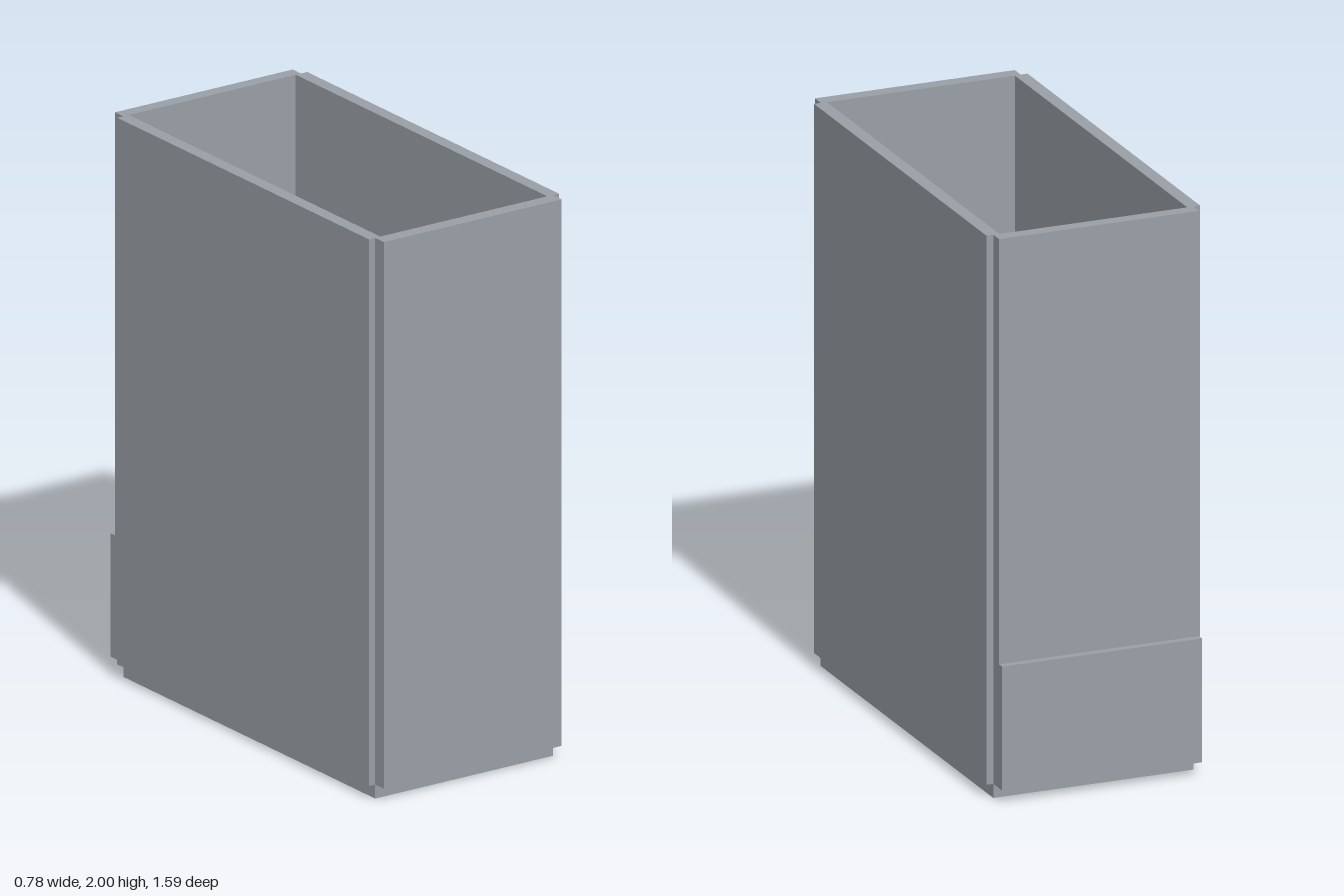
import * as THREE from 'three';

export function createModel() {
  const model = new THREE.Group();
  const mat = (name, color) => Object.assign(new THREE.MeshStandardMaterial({ color }), { name });
  const concrete = mat('concrete grey', 0x9a9fa7);
  const yellow = mat('safety yellow', 0xdcc840);

  const add = (name, geometry, material, parent = model) => {
    const mesh = new THREE.Mesh(geometry, material);
    mesh.name = name;
    parent.add(mesh);
    return mesh;
  };
  // Box given by its limits on each axis
  const box = (name, [x0, x1], [y0, y1], [z0, z1], material = concrete, parent = model) => {
    const mesh = add(name, new THREE.BoxGeometry(x1 - x0, y1 - y0, z1 - z0), material, parent);
    mesh.position.set((x0 + x1) / 2, (y0 + y1) / 2, (z0 + z1) / 2);
  };
  // Round bar between two points
  const bar = (name, a, b, r0, r1, material, parent = model) => {
    const from = new THREE.Vector3(...a), to = new THREE.Vector3(...b);
    const dir = to.clone().sub(from);
    const mesh = add(name, new THREE.CylinderGeometry(r1, r0, dir.length(), 12), material, parent);
    mesh.position.copy(from).add(to).multiplyScalar(0.5);
    mesh.quaternion.setFromUnitVectors(new THREE.Vector3(0, 1, 0), dir.normalize());
  };

  // Shaft: base slab and four walls, open at the top
  const floor = 0.05;
  box('baseSlab', [-0.365, 0.365], [0, floor], [-0.72, 0.745]);
  box('rightWall', [-0.39, -0.343], [floor, 2], [-0.72, 0.745]);
  box('leftWall', [0.343, 0.39], [floor, 2], [-0.72, 0.745]);
  box('frontWall', [-0.365, 0.365], [floor, 2], [0.743, 0.795]);
  box('backWall', [-0.365, 0.365], [floor, 2], [-0.768, -0.72]);
  box('lowerBackWall', [-0.365, 0.365], [floor, 0.49], [-0.795, -0.768]);

  // Two flights of ten steps with a half landing between them
  const rise = 0.04, z0 = -0.455, z1 = 0.28, count = 10, run = (z1 - z0) / count;
  const mid = floor + 11 * rise, upper = mid + count * rise;
  box('halfLanding', [-0.343, 0.343], [mid - 0.05, mid], [z1, 0.743]);
  box('upperLanding', [-0.343, 0.343], [upper - 0.05, upper], [-0.72, z0]);
  for (let i = 0; i < count; i++) {
    const z = z0 + i * run;
    box('lowerStep', [-0.343, -0.028], [floor, floor + (i + 1) * rise], [z, z + run]);
    const y = upper - i * rise;
    box('upperStep', [0.025, 0.343], [y - 0.08, y], [z, z + run]);
    box('stepNosing', [0.025, 0.343], [y - 0.007, y + 0.002], [z + run - 0.011, z + run + 0.001], yellow);
  }

  // Door on the upper landing
  box('door', [-0.147, 0.143], [upper, upper + 0.52], [-0.72, -0.706]);

  // Railings that follow the upper flight
  const slope = (z) => upper - ((z - z0) / run) * rise;
  const rail = (name, x, a, b, h) =>
    bar(name, [x, slope(a) + h, a], [x, slope(b) + h, b], 0.007, 0.007, yellow);
  rail('centreHandrail', -0.002, z0, z1, 0.24);
  rail('centreMidRail', -0.002, z0, z1, 0.12);
  for (let i = 0; i <= 5; i++) {
    const z = z0 + 0.007 + i * (z1 - z0 - 0.014) / 5;
    bar('railPost', [-0.002, slope(z) - 0.03, z], [-0.002, slope(z) + 0.24, z], 0.006, 0.006, yellow);
  }
  rail('wallHandrail', 0.33, -0.265, -0.165, 0.24);
  rail('wallHandrail', 0.33, 0.125, z1, 0.24);

  // Figure with a helmet, standing on the upper landing
  const figure = new THREE.Group();
  figure.name = 'figure';
  figure.position.set(0.13, upper, -0.57);
  model.add(figure);
  const ball = (name, [x, y, z], [sx, sy, sz], material) => {
    const mesh = add(name, new THREE.SphereGeometry(1, 20, 14), material, figure);
    mesh.position.set(x, y, z);
    mesh.scale.set(sx, sy, sz);
  };
  for (const s of [-1, 1]) {
    bar('leg', [s * 0.03, 0.02, 0], [s * 0.025, 0.22, 0], 0.019, 0.025, concrete, figure);
    box('boot', [s * 0.03 - 0.018, s * 0.03 + 0.018], [0, 0.025], [-0.025, 0.045], concrete, figure);
  }
  bar('torso', [0, 0.2, 0], [0, 0.36, 0], 0.042, 0.052, yellow, figure);
  ball('head', [0, 0.41, 0.005], [0.034, 0.042, 0.036], concrete);
  ball('helmet', [0, 0.425, 0], [0.05, 0.042, 0.05], concrete);
  box('helmetPeak', [-0.025, 0.025], [0.418, 0.426], [0.03, 0.065], concrete, figure);
  const arm = (shoulder, elbow, hand) => {
    ball('shoulder', shoulder, [0.02, 0.02, 0.02], yellow);
    bar('upperArm', shoulder, elbow, 0.019, 0.016, yellow, figure);
    ball('elbow', elbow, [0.016, 0.016, 0.016], concrete);
    bar('forearm', elbow, hand, 0.014, 0.009, concrete, figure);
    ball('hand', hand, [0.011, 0.012, 0.012], concrete);
  };
  arm([-0.062, 0.34, 0.005], [-0.074, 0.26, 0.062], [-0.032, 0.25, 0.105]);
  arm([0.052, 0.34, 0.015], [0.062, 0.26, 0.05], [0.055, 0.22, 0.07]);

  return model;
}
